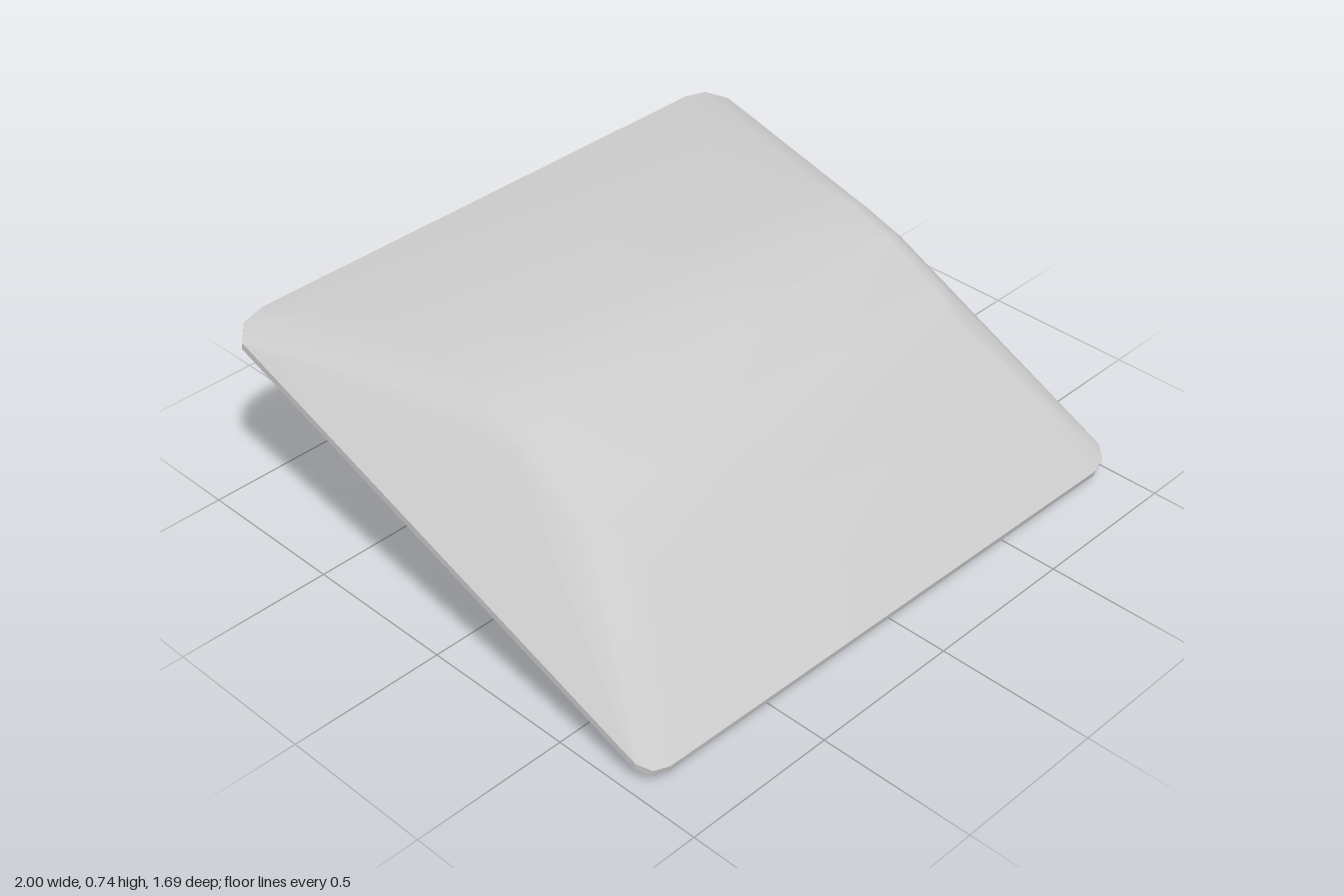
import * as THREE from 'three';
import { ConvexGeometry } from 'three/addons/geometries/ConvexGeometry.js';
import { toCreasedNormals } from 'three/addons/utils/BufferGeometryUtils.js';

// Height of the tilted seam plane at depth z
const seamY = (z) => 0.37 - 0.395 * z;

// Upper bulge cross-section as [z, y]; the lower one is its half-turn about (0, 0.37)
const bulge = [
  [0.6, 0.33], [0.44, 0.5], [0.36, 0.555], [0.29, 0.595], [0.13, 0.68],
  [0, 0.72], [-0.15, 0.74], [-0.57, 0.738],
];

// Rounded, slightly skewed seam outline as [x, z]
const seam = [
  [-0.87, -0.842], [-0.95, -0.825], [-1, -0.77],
  [-0.975, 0.76], [-0.95, 0.8], [-0.9, 0.815],
  [0.91, 0.838], [0.965, 0.82], [1, 0.78],
  [0.975, -0.77], [0.925, -0.825], [0.85, -0.842],
];

// Rounding of the bulge ends: [x, share of the full height, first and last profile index]
const ends = [[0.71, 1, 0, 7], [0.755, 0.95, 2, 6], [0.79, 0.86, 3, 5]];

export function createModel() {
  const points = [];

  // Thin seam around the edge
  for (const [x, z] of seam) {
    for (const s of [-1, 1]) {
      points.push(new THREE.Vector3(x, seamY(z) + s * 0.011, z + s * 0.003));
    }
  }

  // Upper and lower bulges, mirrored left and right
  for (const [x, share, first, last] of ends) {
    for (const [z, y] of bulge.slice(first, last + 1)) {
      const rise = (y - seamY(z)) * share;
      for (const side of [-1, 1]) {
        points.push(new THREE.Vector3(side * x, seamY(z) + rise, z));
        points.push(new THREE.Vector3(side * x, seamY(-z) - rise, -z));
      }
    }
  }

  const cushion = new THREE.Mesh(
    toCreasedNormals(new ConvexGeometry(points), 0.4),
    new THREE.MeshStandardMaterial({ color: 0xcccccc })
  );
  cushion.name = 'cushion';

  const group = new THREE.Group();
  group.name = 'tiltedCushion';
  group.add(cushion);
  return group;
}
